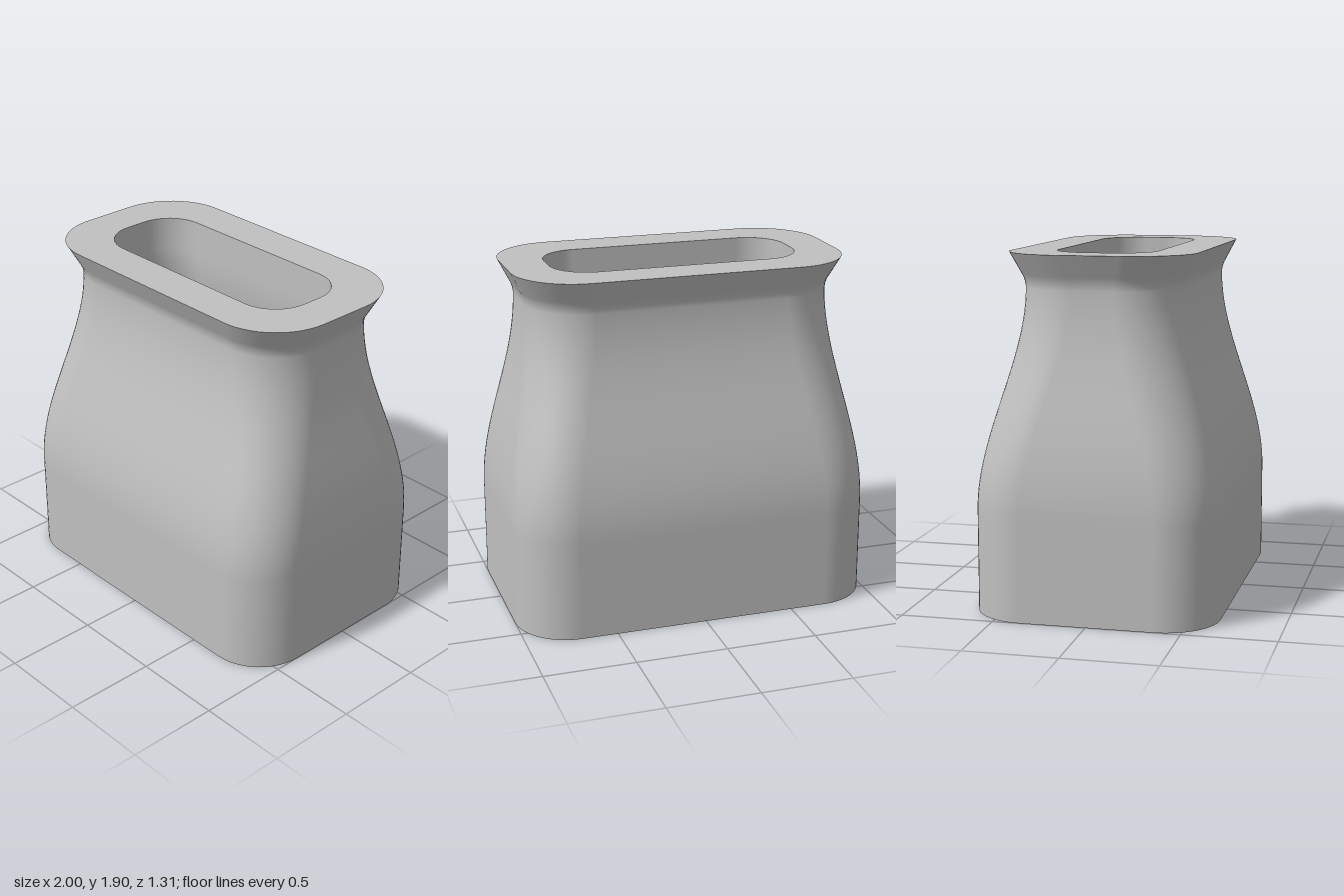
import * as THREE from 'three';

const WALL = 0.155, HEIGHT = 1.905, CORNER = 14;

// Rounded rectangle section: half width, half depth, corner radius, height
function ring([hx, hz, r, y]) {
  const pts = [];
  const centres = [[1, 1], [-1, 1], [-1, -1], [1, -1]];
  centres.forEach(([sx, sz], q) => {
    for (let i = 0; i <= CORNER; i++) {
      const a = (q + i / CORNER) * Math.PI / 2;
      pts.push([sx * (hx - r) + r * Math.cos(a), y, sz * (hz - r) + r * Math.sin(a)]);
    }
  });
  return pts;
}

// Closed skin through a list of sections
function loft(sections) {
  const rings = sections.map(ring), n = rings[0].length, index = [];
  for (let j = 0; j < rings.length - 1; j++) {
    for (let i = 0; i < n; i++) {
      const k = (i + 1) % n;
      const a = j * n + i, b = j * n + k, c = a + n, d = b + n;
      index.push(a, c, b, b, c, d);
    }
  }
  const geo = new THREE.BufferGeometry();
  geo.setAttribute('position', new THREE.Float32BufferAttribute(rings.flat(2), 3));
  geo.setIndex(index);
  geo.computeVertexNormals();
  return geo;
}

export function createModel() {
  const model = new THREE.Group();
  const grey = new THREE.MeshStandardMaterial({ color: 0xc0c0c0 });
  grey.name = 'plain grey';

  // Straight base, then an S-curve up to the neck
  const body = [0, 0.02, 0.28, 0.53].map((y) => [1, 0.655, 0.3, y]);
  const STEPS = 28;
  for (let i = 0; i <= STEPS; i++) {
    const t = i / STEPS, s = t * t * (3 - 2 * t);
    body.push([1 - 0.155 * s, 0.655 - 0.23 * s, 0.3 + 0.01 * s, 0.55 + 1.17 * t]);
  }

  // Small fillet at the neck, then the straight flare of the lip
  const outer = [...body];
  for (const [grow, y] of [[0.001, 1.735], [0.004, 1.75], [0.008, 1.765], [0.014, 1.78], [0.02, 1.792], [0.07, 1.893], [0.076, HEIGHT]]) {
    outer.push([0.845 + grow, 0.425 + grow, 0.31 + grow * 0.5, y]);
  }

  // Bore: the body offset inwards by the wall, straight through the lip
  const inner = body.map(([hx, hz, r, y]) => {
    const s = (1 - hx) / 0.155;
    return [hx - WALL, hz - WALL, r - WALL + 0.055 * s, y];
  });
  const neck = inner[inner.length - 1];
  inner.push([neck[0], neck[1], neck[2], HEIGHT]);
  inner.reverse();

  const parts = {
    outerWall: outer,
    topRim: [outer[outer.length - 1], inner[0]],
    innerWall: inner,
    bottomRim: [inner[inner.length - 1], outer[0]],
  };
  for (const [name, sections] of Object.entries(parts)) {
    const mesh = new THREE.Mesh(loft(sections), grey);
    mesh.name = name;
    model.add(mesh);
  }
  return model;
}
